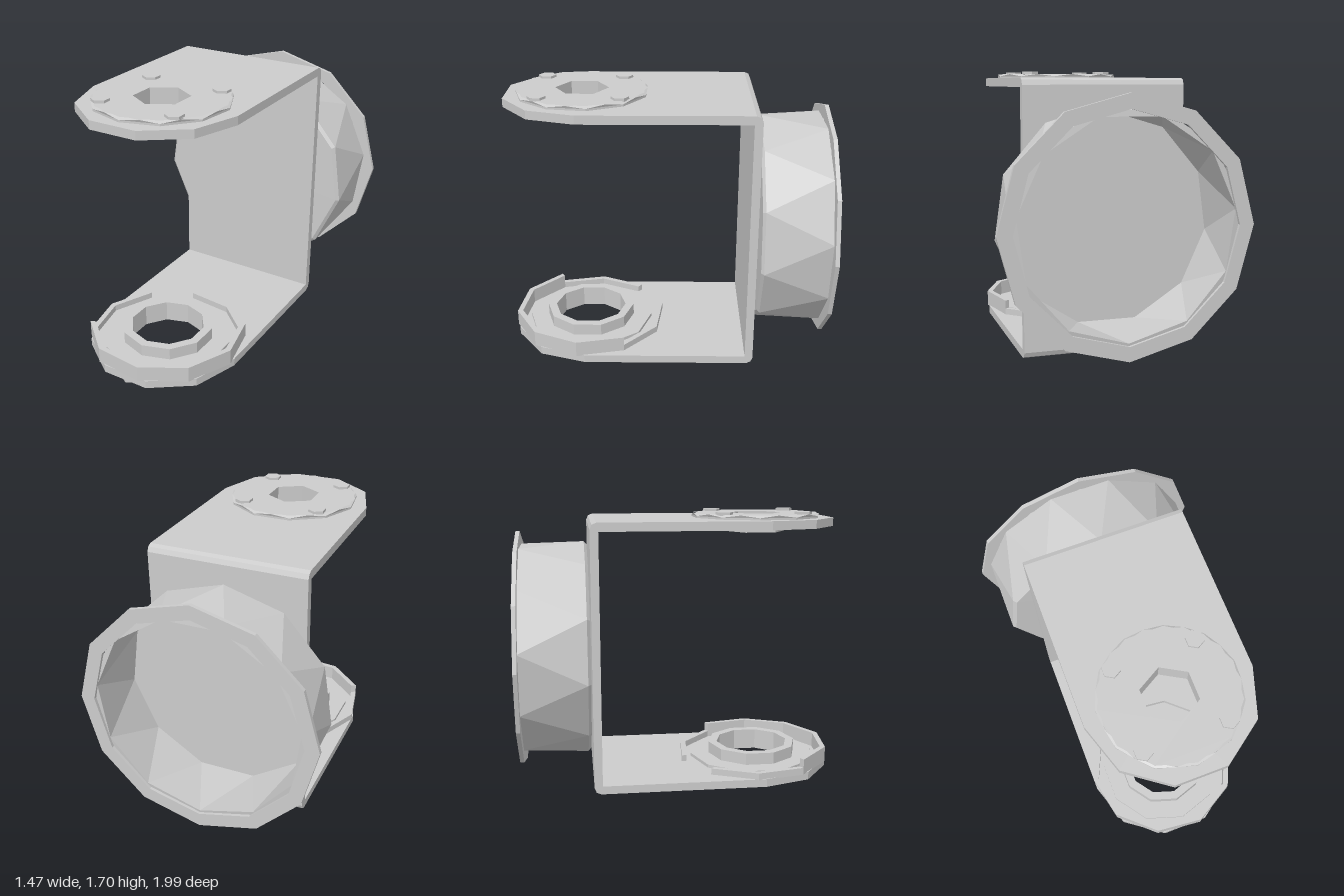
import * as THREE from 'three';

const MAT = new THREE.MeshStandardMaterial({ color: 0xcccccc, flatShading: true });
const MAT2 = new THREE.MeshStandardMaterial({ color: 0xcccccc, flatShading: true, side: THREE.DoubleSide });
const EYE_Z = 0.51; // z of both round lug centres

function mesh(name, geometry, parent, material = MAT) {
  const m = new THREE.Mesh(geometry, material);
  m.name = name;
  parent.add(m);
  return m;
}

// Faceted turning about y. Each ring is [radius, y, twist]; twist 1 turns the
// ring by half a side, so neighbouring rings join in a zigzag of triangles.
function facetedRings(n, rings) {
  const pos = [];
  const pt = ([r, y, twist = 0], i) => {
    const a = ((i + twist / 2) / n) * Math.PI * 2;
    return [r * Math.sin(a), y, r * Math.cos(a)];
  };
  for (let k = 0; k < rings.length - 1; k++) {
    const a = rings[k], b = rings[k + 1];
    const shift = (a[2] || 0) > (b[2] || 0) ? 1 : 0;
    for (let i = 0; i < n; i++) {
      const a0 = pt(a, i), a1 = pt(a, i + 1), b0 = pt(b, i + shift), b1 = pt(b, i + 1 + shift);
      if (a[0] > 0) pos.push(...a0, ...a1, ...b0);
      if (b[0] > 0) pos.push(...a1, ...b1, ...b0);
    }
  }
  const g = new THREE.BufferGeometry();
  g.setAttribute('position', new THREE.Float32BufferAttribute(pos, 3));
  g.computeVertexNormals();
  return g;
}

// Points on an arc, angles in degrees from +x
function arc(r, from, to, steps, cy = 0) {
  return Array.from({ length: steps + 1 }, (_, i) => {
    const a = THREE.MathUtils.degToRad(from + ((to - from) * i) / steps);
    return new THREE.Vector2(r * Math.cos(a), cy + r * Math.sin(a));
  });
}

// Flat shape in x/z, thickened from y0 up to y1
function slab(shape, y0, y1) {
  return new THREE.ExtrudeGeometry(shape, { depth: y1 - y0, bevelEnabled: false })
    .rotateX(Math.PI / 2).translate(0, y1, 0);
}

// Lug with a five-sided rounded end and a polygonal hole
function lug(holeRadius, holeSides, y0, y1) {
  const s = new THREE.Shape([
    new THREE.Vector2(-0.49, -0.45), new THREE.Vector2(0.49, -0.45),
    ...arc(0.49, 0, 180, 5, EYE_Z),
  ]);
  s.holes.push(new THREE.Path(arc(holeRadius, 90, -270, holeSides, EYE_Z)));
  return slab(s, y0, y1);
}

function bolt(parent, x, y, z) {
  mesh('bolt', new THREE.CylinderGeometry(0.055, 0.055, 0.02, 6), parent).position.set(x, y, z);
}

export function createModel() {
  const model = new THREE.Group();

  // Bent bracket: back web with chamfered bends, plus two lugs
  const bracket = new THREE.Group();
  bracket.name = 'bracket';
  model.add(bracket);
  const profile = new THREE.Shape([
    [0.4, 0.02], [0.515, 0.02], [0.543, 0.032], [0.555, 0.06],
    [0.555, 1.615], [0.543, 1.643], [0.515, 1.655], [0.4, 1.655],
    [0.4, 1.602], [0.505, 1.602], [0.505, 0.07], [0.4, 0.07],
  ].map(([x, y]) => new THREE.Vector2(x, y)));
  mesh('backWeb', new THREE.ExtrudeGeometry(profile, { depth: 0.98, bevelEnabled: false })
    .translate(0, 0, -0.49).rotateY(Math.PI / 2), bracket);
  mesh('upperLug', lug(0.17, 6, 1.602, 1.655), bracket);
  mesh('lowerLug', lug(0.29, 10, 0.02, 0.07), bracket);

  // Top washer with hexagonal hole, nut and four bolts
  const top = new THREE.Group();
  top.name = 'topWasher';
  top.position.z = EYE_Z;
  model.add(top);
  mesh('washerEdge', facetedRings(11, [[0.41, 1.655, 0], [0.41, 1.667, 0], [0.4, 1.682, 1]]), top);
  const face = new THREE.Shape(arc(0.4, 90 + 180 / 11, 450 + 180 / 11, 11).slice(0, -1));
  face.holes.push(new THREE.Path(arc(0.165, 90, -270, 6)));
  mesh('washerFace', new THREE.ShapeGeometry(face).rotateX(-Math.PI / 2)
    .translate(0, 1.682, 0), top);
  mesh('hexNut', facetedRings(6, [[0.165, 1.682], [0.165, 1.565], [0.19, 1.565], [0.19, 1.602]]), top);
  for (const x of [-0.245, 0.245]) for (const z of [-0.245, 0.245]) bolt(top, x, 1.687, z);

  // Bottom seat: disc, collar, stepped rim and three bolts
  const seat = new THREE.Group();
  seat.name = 'bottomSeat';
  seat.position.z = EYE_Z;
  model.add(seat);
  mesh('seatDisc', facetedRings(10, [[0.41, 0.07], [0.41, 0.09], [0.28, 0.09]]), seat);
  mesh('collar', facetedRings(10, [
    [0.235, 0.165], [0.235, 0.03], [0.29, 0.03], [0.29, 0.165], [0.235, 0.165],
  ]), seat);
  const rim = (name, from, to, steps, height) => mesh(name, slab(new THREE.Shape([
    ...arc(0.495, from, to, steps), ...arc(0.46, to, from, steps),
  ]), 0.065, height), seat);
  rim('tallRim', -30, 150, 5, 0.165);
  rim('lowRim', 150, 222, 2, 0.11);
  rim('lowRim', -102, -30, 2, 0.11);
  for (const p of arc(0.41, 90, 330, 2)) bolt(seat, p.x, 0.011, p.y);

  // Open drum on the back, its axis along -z
  const drum = new THREE.Group();
  drum.name = 'drum';
  drum.rotation.x = -Math.PI / 2;
  drum.position.y = 0.84;
  model.add(drum);
  mesh('drumShell', facetedRings(11, [
    [0, 0.556, 0], [0.65, 0.565, 0], [0.67, 0.582, 0], [0.67, 0.98, 1],
    [0.635, 0.985, 1], [0.63, 0.6, 0], [0, 0.6, 0],
  ]), drum, MAT2);
  mesh('drumFlange', facetedRings(12, [
    [0.65, 0.975], [0.737, 0.975], [0.737, 1], [0.65, 1], [0.65, 0.975],
  ]), drum);

  return model;
}
